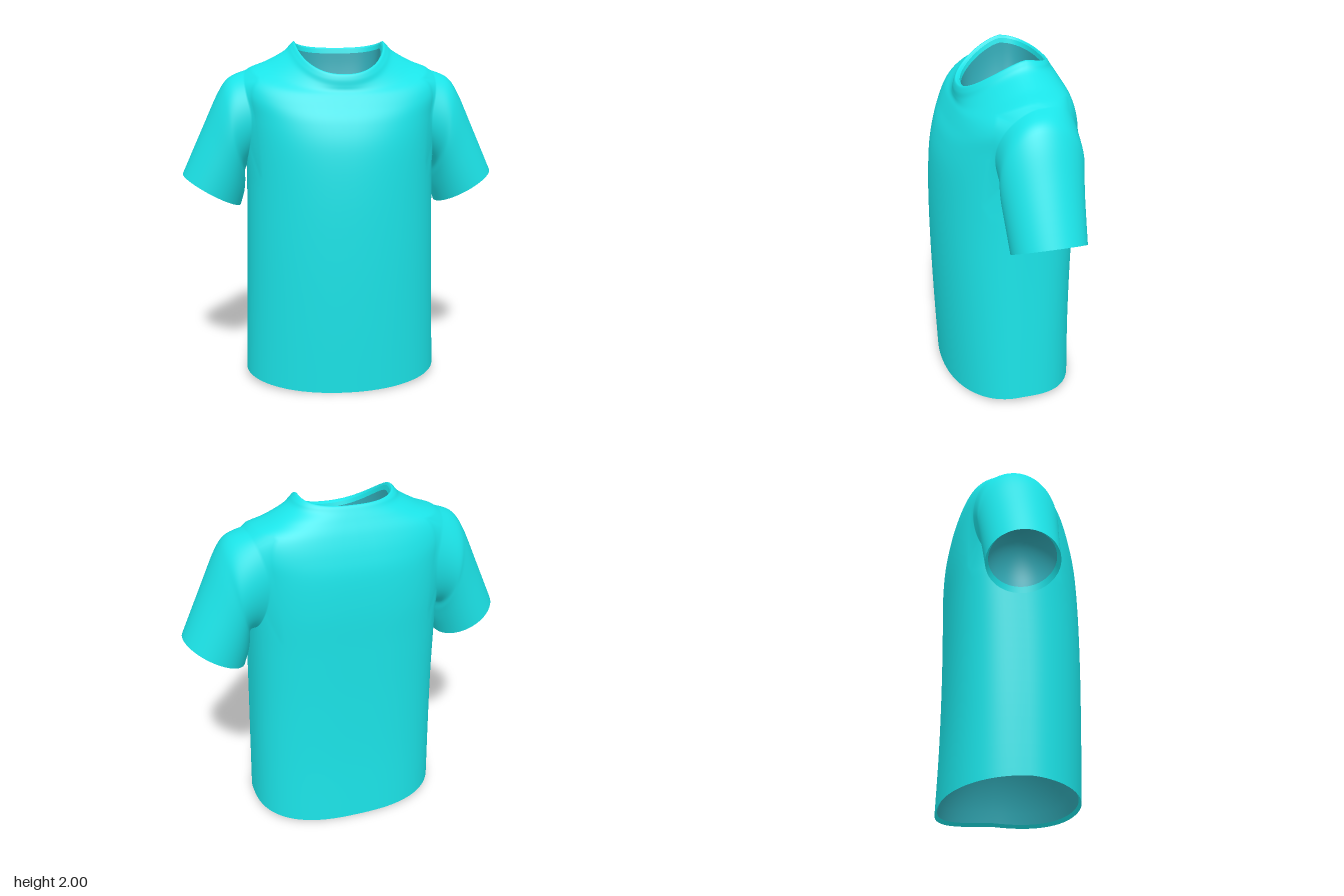
import * as THREE from 'three';

const COLS = 96, STEPS = 6;

// Body rings, hem to collar:
// half width, z front, z back, z side, y front, y side, y back, squareness front, squareness back
const BODY = [
  [0.575, 0.375, -0.40, 0.00, 0.00, 0.045, 0.00, 2.1, 2.6],
  [0.565, 0.39, -0.387, 0.00, 0.40, 0.42, 0.40, 2.1, 2.7],
  [0.555, 0.40, -0.385, 0.00, 0.80, 0.80, 0.80, 2.1, 2.8],
  [0.55, 0.40, -0.39, -0.01, 1.15, 1.13, 1.15, 2.1, 2.9],
  [0.55, 0.383, -0.395, -0.02, 1.40, 1.40, 1.40, 2.2, 3],
  [0.56, 0.345, -0.385, -0.04, 1.55, 1.60, 1.60, 2.4, 3],
  [0.575, 0.30, -0.36, -0.06, 1.64, 1.75, 1.72, 2.6, 3],
  [0.54, 0.268, -0.325, -0.07, 1.70, 1.838, 1.82, 2.6, 3],
  [0.42, 0.25, -0.29, -0.07, 1.73, 1.89, 1.89, 2.4, 2.8],
  [0.32, 0.246, -0.268, -0.07, 1.755, 1.945, 1.93, 2.3, 2.6],
  [0.285, 0.243, -0.255, -0.08, 1.79, 1.98, 1.952, 2.3, 2.6],
  [0.262, 0.23, -0.245, -0.08, 1.82, 2.00, 1.96, 2.3, 2.6],
  [0.25, 0.205, -0.235, -0.08, 1.812, 1.985, 1.952, 2.3, 2.6],
];

// Sleeve rings, shoulder to cuff: outer x, y, inner x, y, z front, z back
const SLEEVE = [
  [0.64, 1.795, 0.56, 1.25, 0.155, -0.298],
  [0.705, 1.71, 0.56, 1.19, 0.158, -0.29],
  [0.797, 1.515, 0.567, 1.125, 0.147, -0.28],
  [0.925, 1.235, 0.59, 1.045, 0.133, -0.27],
];

// Armhole in the body grid: bottom and top row, columns behind and in front of the side
const HOLE = { r0: 3 * STEPS + 3, r1: 7 * STEPS, back: 11, front: 7 };

// Smooth curve through a list of equally long number rows
function smoothRows(keys) {
  const at = i => keys[Math.max(0, Math.min(keys.length - 1, i))];
  const rows = [];
  for (let k = 0; k < keys.length - 1; k++) {
    for (let s = 0; s < STEPS; s++) {
      const t = s / STEPS;
      rows.push(keys[k].map((b, j) => {
        const a = at(k - 1)[j], c = at(k + 1)[j], d = at(k + 2)[j];
        return b + 0.5 * t * (c - a + t * (2 * a - 5 * b + 4 * c - d + t * (3 * (b - c) + d - a)));
      }));
    }
  }
  rows.push(keys[keys.length - 1]);
  return rows;
}

// Point on the body at a row and column, which may be fractions
function bodyPoint(rows, r, col) {
  const lo = rows[Math.floor(r)], hi = rows[Math.ceil(r)];
  const [w, zf, zb, zs, yf, ys, yb, nf, nb] = lo.map((a, i) => a + (hi[i] - a) * (r % 1));
  const angle = col / COLS * Math.PI * 2;
  const c = Math.cos(angle), s = Math.sin(angle), front = s > 0;
  const e = 2 / (front ? nf : nb), m = Math.abs(s);
  return [
    w * Math.sign(c) * Math.abs(c) ** e,
    ys + ((front ? yf : yb) - ys) * m ** 1.2,
    zs + ((front ? zf : zb) - zs) * m ** e,
  ];
}

function sleevePoint([ox, oy, ix, iy, zf, zb], phi) {
  const c = Math.cos(phi), s = Math.sin(phi);
  return [
    (ox + ix) / 2 + (ox - ix) / 2 * c,
    (oy + iy) / 2 + (oy - iy) / 2 * c,
    (zf + zb) / 2 + (zf - zb) / 2 * s,
  ];
}

// Armhole edge as [row, column] pairs, once around
function armholeLoop() {
  const { r0, r1, back, front } = HOLE, loop = [];
  for (let c = -back; c < front; c++) loop.push([r0, c]);
  for (let r = r0; r < r1; r++) loop.push([r, front]);
  for (let c = front; c > -back; c--) loop.push([r1, c]);
  for (let r = r1; r > r0; r--) loop.push([r, -back]);
  return loop;
}

function makeGeometry(points, index) {
  const geometry = new THREE.BufferGeometry();
  geometry.setAttribute('position', new THREE.Float32BufferAttribute(points.flat(), 3));
  geometry.setIndex(index);
  geometry.computeVertexNormals();
  return geometry;
}

// Shirt surface and the rims of its four openings
function buildShirt() {
  const points = [], index = [];
  const quad = (a, b, c, d, flip) => {
    if (flip) index.push(a, c, b, a, d, c);
    else index.push(a, b, c, a, c, d);
  };
  const id = (r, c) => r * COLS + ((c % COLS) + COLS) % COLS;

  // Torso, shoulders and collar, leaving the armholes open
  const rows = smoothRows(BODY);
  rows.forEach((row, r) => {
    for (let c = 0; c < COLS; c++) points.push(bodyPoint(rows, r, c));
  });
  const { r0, r1, back, front } = HOLE;
  const open = (r, c) => r >= r0 && r < r1 && c >= -back && c < front;
  for (let r = 0; r < rows.length - 1; r++) {
    for (let c = -COLS / 4; c < COLS * 3 / 4; c++) {
      if (open(r, c) || open(r, COLS / 2 - c - 1)) continue;
      quad(id(r, c), id(r + 1, c), id(r + 1, c + 1), id(r, c + 1), false);
    }
  }
  const rims = { hem: points.slice(0, COLS), neck: points.slice(-COLS), cuffs: [] };

  // Sleeves grow out of the armhole edges, which are rounded off first
  const loop = armholeLoop(), n = loop.length;
  for (const side of [1, -1]) {
    let ring = loop.map(([r, c]) => id(r, side > 0 ? c : COLS / 2 - c));
    const paths = loop.map(([r, c], i) => {
      const u = (2 * c + back - front) / (back + front);
      const v = (2 * r - r0 - r1) / (r1 - r0);
      const ru = u * Math.sqrt(1 - v * v / 2), rv = v * Math.sqrt(1 - u * u / 2);
      const [x, y, z] = bodyPoint(rows, (r0 + r1 + rv * (r1 - r0)) / 2, (front - back + ru * (back + front)) / 2);
      points[ring[i]] = [x * side, y, z];
      const phi = Math.atan2(ru, rv);
      return smoothRows([[x, y, z], ...SLEEVE.map(k => sleevePoint(k, phi))]);
    });
    for (let k = 1; k < paths[0].length; k++) {
      const next = paths.map(path => points.push([path[k][0] * side, path[k][1], path[k][2]]) - 1);
      for (let i = 0; i < n; i++) {
        const j = (i + 1) % n;
        quad(ring[i], next[i], next[j], ring[j], side < 0);
      }
      ring = next;
    }
    rims.cuffs.push(ring.map(i => points[i]));
  }
  return { geometry: makeGeometry(points, index), rims };
}

// Ring scaled about its centre and shifted
function moveRing(ring, scale, shift) {
  const centre = [0, 1, 2].map(a => ring.reduce((sum, p) => sum + p[a], 0) / ring.length);
  return ring.map(p => p.map((v, a) => centre[a] + (v - centre[a]) * scale + shift[a]));
}

// Surface through a list of equal rings
function loft(rings) {
  const n = rings[0].length, index = [];
  for (let k = 0; k < rings.length - 1; k++) {
    for (let i = 0; i < n; i++) {
      const a = k * n + i, b = k * n + (i + 1) % n;
      index.push(a, a + n, b + n, a, b + n, b);
    }
  }
  return makeGeometry(rings.flat(), index);
}

// Rounded pocket that closes an opening from the inside, with a near-flat middle
function pocketGeometry(rim, depth) {
  const rings = [];
  for (let k = 0; k <= 14; k++) {
    const t = k / 14 * Math.PI / 2;
    const scale = Math.max(0.004, Math.cos(t) * (1 - 0.12 * Math.sin(t)));
    rings.push(moveRing(rim, scale, depth.map(d => d * Math.sin(t))));
  }
  return loft(rings);
}

export function createModel() {
  const fabric = new THREE.MeshStandardMaterial({ color: 0x1be3e7, side: THREE.DoubleSide });
  fabric.name = 'turquoise fabric';
  const lining = new THREE.MeshStandardMaterial({ color: 0x30a8b4, side: THREE.DoubleSide });
  lining.name = 'muted teal lining';

  const group = new THREE.Group();
  group.name = 'tShirt';
  const add = (name, geometry, material) => {
    const mesh = new THREE.Mesh(geometry, material);
    mesh.name = name;
    group.add(mesh);
  };
  const { geometry, rims } = buildShirt();
  add('shirt', geometry, fabric);

  // Each opening has a folded edge in the fabric colour and a lining behind it
  const openings = [
    ['neck', rims.neck, 0.975, [0, -0.025, 0], [0, -0.4, 0]],
    ['hem', rims.hem, 0.965, [0, 0.02, 0], [0, 0.6, 0]],
    ['leftCuff', rims.cuffs[0], 0.91, [-0.015, 0.03, 0], [-0.09, 0.2, 0]],
    ['rightCuff', rims.cuffs[1], 0.91, [0.015, 0.03, 0], [0.09, 0.2, 0]],
  ];
  for (const [name, rim, scale, shift, depth] of openings) {
    const inset = moveRing(rim, scale, shift);
    add(name + 'Fold', loft([rim, inset]), fabric);
    add(name + 'Lining', pocketGeometry(inset, depth), lining);
  }
  return group;
}
